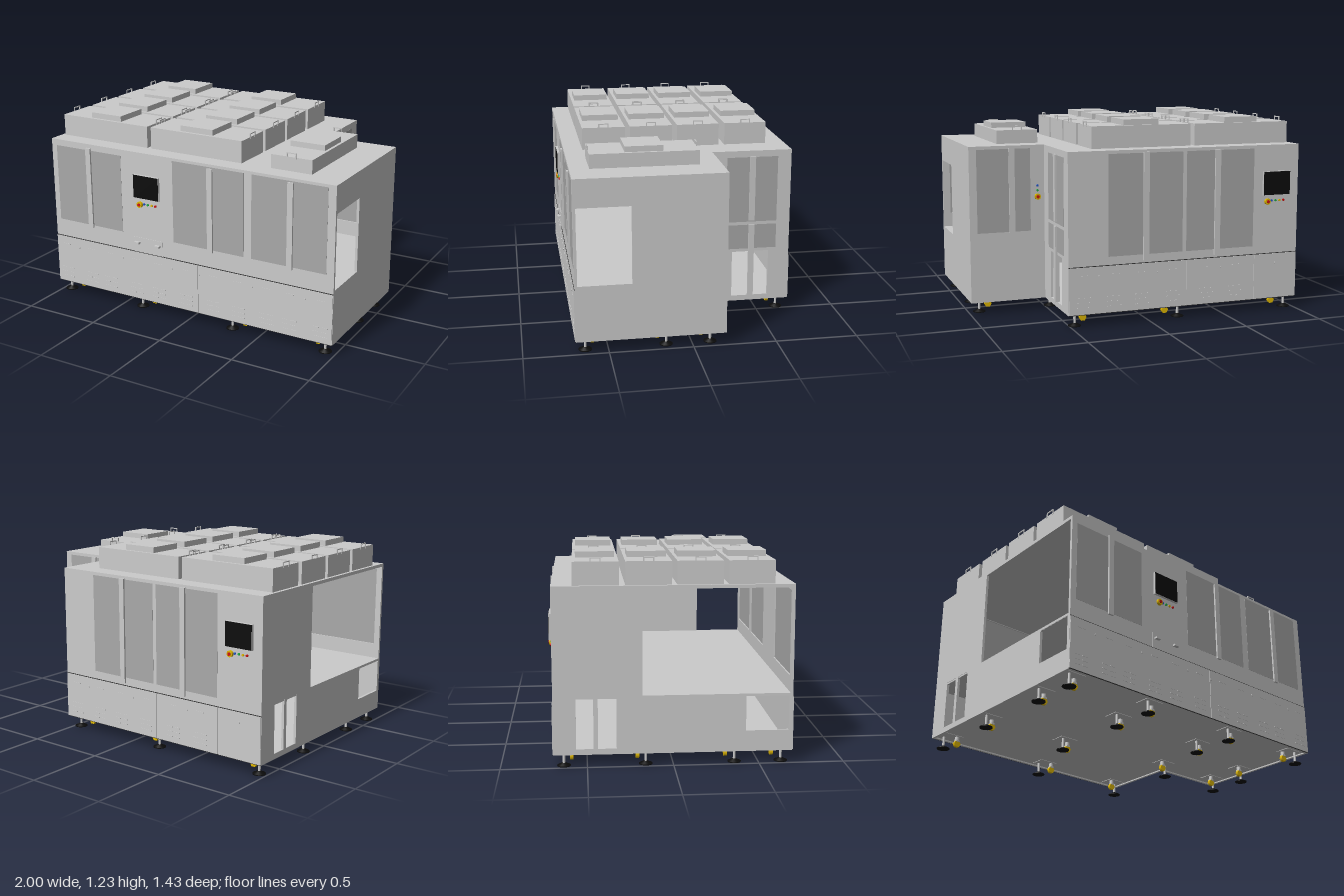
import * as THREE from 'three';

const mat = (color) => new THREE.MeshStandardMaterial({ color });
const GREY = mat(0xcccccc), PANE = mat(0xa9a9a9), BLACK = mat(0x0c0c0c), DARK = mat(0x333333);
const YELLOW = mat(0xe0b800), RED = mat(0xcc1111), GREEN = mat(0x22aa44), BLUE = mat(0x2255cc);
const BASE = 0.076, TOP = 1.055, DECK = 0.42, T = 0.016;
const FRONT = 0.693, BACK = -0.695, STEP = -0.197, END = 0.997, INNER = 0.52;

function add(parent, name, geo, material, x = 0, y = 0, z = 0) {
  const m = new THREE.Mesh(geo, material);
  m.name = name;
  m.position.set(x, y, z);
  parent.add(m);
  return m;
}

// Box given by its limits on each axis
function slab(parent, name, x0, x1, y0, y1, z0, z1, material = GREY) {
  return add(parent, name, new THREE.BoxGeometry(x1 - x0, y1 - y0, z1 - z0), material,
    (x0 + x1) / 2, (y0 + y1) / 2, (z0 + z1) / 2);
}

// A side of the cabinet: local x runs along it, y is up, local z = 0 is its outer face.
// Openings and panes are [left, right, bottom, top]; panes fill their own holes.
function makeSide(parent, name, x, z, turn, u0, u1, openings, panes = []) {
  const g = new THREE.Group();
  g.name = name;
  g.position.set(x, 0, z);
  g.rotation.y = turn;
  parent.add(g);
  const rect = (P, a, b, c, d) => {
    const p = new P();
    p.moveTo(a, c); p.lineTo(b, c); p.lineTo(b, d); p.lineTo(a, d); p.closePath();
    return p;
  };
  const s = rect(THREE.Shape, u0, u1, BASE, TOP);
  [...openings, ...panes].forEach((h) => s.holes.push(rect(THREE.Path, ...h)));
  add(g, name + 'Wall', new THREE.ExtrudeGeometry(s, { depth: T, bevelEnabled: false }), GREY, 0, 0, -T);
  panes.forEach((p) => slab(g, 'windowPane', ...p, -0.008, 0.001, PANE));
  return g;
}

// Long vertical pull bar on a door
function pullBar(side, u, y0, y1) {
  slab(side, 'pullBar', u - 0.018, u + 0.018, y0, y1, 0, 0.012);
}

function knob(parent, name, x, y, z, r, depth, material, sides = 16) {
  const geo = new THREE.CylinderGeometry(r, r, depth, sides).rotateX(Math.PI / 2);
  return add(parent, name, geo, material, x, y, z + depth / 2);
}

function stopSwitch(side, u, y) {
  knob(side, 'stopCollar', u, y, 0, 0.02, 0.016, YELLOW, 8);
  knob(side, 'stopButton', u, y, 0.016, 0.01, 0.005, RED);
}

// Emergency stop and a row of coloured push buttons
function buttons(side, u, y) {
  stopSwitch(side, u, y);
  [BLUE, GREEN, YELLOW, RED].forEach((m, i) =>
    knob(side, 'pushButton', u + 0.03 + i * 0.028, y + 0.005, 0, 0.007, 0.008, m, 12));
}

function screen(side, u, y) {
  slab(side, 'screenFrame', u - 0.093, u + 0.093, y - 0.075, y + 0.075, 0, 0.014);
  slab(side, 'screenGlass', u - 0.091, u + 0.091, y - 0.073, y + 0.073, 0.014, 0.016, BLACK);
}

// Lower service panel with dark seals and locks, each lock flanked by grip slots and vent slats
function servicePanel(side, u0, u1, top, locks) {
  slab(side, 'servicePanel', u0 + 0.002, u1 - 0.002, BASE + 0.004, top - 0.004, 0, 0.005);
  for (const y of [BASE, top - 0.004]) slab(side, 'panelSeal', u0, u1, y, y + 0.004, 0, 0.003, DARK);
  for (const c of locks) {
    knob(side, 'panelLock', c, top - 0.065, 0.005, 0.007, 0.005, GREY, 10);
    for (const s of [-1, 1]) {
      const v = c + s * 0.1;
      if (v - 0.052 < u0 || v + 0.052 > u1) continue;
      slab(side, 'gripSlot', v - 0.028, v + 0.028, top - 0.06, top - 0.054, 0.005, 0.007);
      for (let r = 0; r < 3; r++) for (const k of [-0.027, 0.027])
        slab(side, 'ventSlat', v + k - 0.02, v + k + 0.02, 0.115 + r * 0.03, 0.121 + r * 0.03, 0.005, 0.007);
    }
  }
}

// Upright U handle spanning local x
function loopHandle(parent, x, y, z, turn) {
  const g = new THREE.Group();
  g.name = 'loopHandle';
  g.position.set(x, y, z);
  g.rotation.y = turn;
  parent.add(g);
  for (const s of [-1, 1]) slab(g, 'handleLeg', s * 0.028 - 0.003, s * 0.028 + 0.003, 0, 0.035, -0.003, 0.003);
  slab(g, 'handleGrip', -0.031, 0.031, 0.03, 0.036, -0.003, 0.003);
}

// Levelling foot at (x, z) with a caster set inward by (dx, dz)
function support(parent, x, z, dx, dz) {
  const g = new THREE.Group();
  g.name = 'support';
  g.position.set(x, 0, z);
  parent.add(g);
  add(g, 'footPad', new THREE.CylinderGeometry(0.012, 0.04, 0.016, 16), BLACK, 0, 0.01, 0);
  add(g, 'footRim', new THREE.CylinderGeometry(0.04, 0.04, 0.004, 16), BLACK, 0, 0.002, 0);
  add(g, 'footRod', new THREE.CylinderGeometry(0.008, 0.008, 0.072, 12), GREY, 0, 0.051, 0);
  const wheel = new THREE.CylinderGeometry(0.023, 0.023, 0.02, 6).rotateX(Math.PI / 2).rotateZ(Math.PI / 6);
  add(g, 'casterWheel', wheel, YELLOW, dx, 0.036, dz);
  add(g, 'casterStem', new THREE.CylinderGeometry(0.014, 0.014, 0.034, 12), GREY, dx, 0.07, dz);
  slab(g, 'casterFork', dx - 0.012, dx + 0.012, 0.05, 0.06, dz - 0.014, dz + 0.014);
  slab(g, 'mountPlate', Math.min(0, dx) - 0.03, Math.max(0, dx) + 0.03, 0.081, 0.086,
    Math.min(0, dz) - 0.025, Math.max(0, dz) + 0.025);
}

// L-shaped horizontal plate, just inside the outer faces
function plate(parent, name, y, t) {
  const e = 0.002;
  const pts = [[-1 + e, -FRONT + e], [END - e, -FRONT + e], [END - e, -STEP - e],
    [INNER - e, -STEP - e], [INNER - e, -BACK - e], [-1 + e, -BACK - e]];
  const s = new THREE.Shape(pts.map((p) => new THREE.Vector2(...p)));
  const geo = new THREE.ExtrudeGeometry(s, { depth: t, bevelEnabled: false }).rotateX(-Math.PI / 2);
  add(parent, name, geo, GREY, 0, y, 0);
}

export function createModel() {
  const model = new THREE.Group();
  model.name = 'machineCabinet';

  // Floor, work deck and roof
  plate(model, 'floor', 0.084, T);
  plate(model, 'deck', DECK - T, T);
  plate(model, 'roof', TOP - T, T);

  // Front
  const front = makeSide(model, 'front', 0, FRONT, 0, -1, END, [],
    [[-0.962, -0.465, 0.515, 1.015], [-0.085, 0.41, 0.515, 1.038], [0.46, 0.948, 0.515, 1.038]]);
  for (const u of [-0.71, 0.18, 0.715]) pullBar(front, u, 0.5, 1.03);
  screen(front, -0.273, 0.84);
  buttons(front, -0.325, 0.722);
  slab(front, 'tray', -0.385, -0.165, 0.402, 0.5, 0, 0.003);
  for (const u of [-0.35, -0.2]) slab(front, 'trayGrip', u - 0.018, u + 0.018, 0.46, 0.472, 0.003, 0.024);
  servicePanel(front, -1, 0.09, 0.402, [-0.82, -0.47, -0.1]);
  servicePanel(front, 0.09, END, 0.402, [0.1, 0.47, 0.82]);

  // Back of the main body (local x runs towards the model's right)
  const back = makeSide(model, 'back', 0, BACK, Math.PI, -INNER, 1, [],
    [[-0.27, 0.21, 0.42, 1.035], [0.235, 0.69, 0.42, 1.035]]);
  for (const u of [-0.03, 0.44]) pullBar(back, u, 0.385, 1.04);
  screen(back, 0.845, 0.815);
  buttons(back, 0.785, 0.7);
  servicePanel(back, -INNER, 0.235, 0.37, [-0.33, 0.05]);
  servicePanel(back, 0.235, 0.7, 0.37, [0.47]);
  servicePanel(back, 0.7, 1, 0.37, [0.85]);

  // Back of the extension
  const rear = makeSide(model, 'extensionBack', 0, STEP, Math.PI, -END, -INNER, [], [[-0.95, -0.61, 0.515, 1.035]]);
  pullBar(rear, -0.73, 0.51, 1.04);
  stopSwitch(rear, -0.565, 0.73);
  [GREEN, BLUE].forEach((m, i) => knob(rear, 'pushButton', -0.565, 0.77 + i * 0.03, 0, 0.007, 0.01, m, 12));

  // Right-hand and left-hand ends with their transfer openings
  makeSide(model, 'extensionEnd', END, 0, Math.PI / 2, -FRONT, -STEP, [[-0.677, -0.36, DECK, 0.885]]);
  const hatches = [[0.33, 0.437, 0.11, DECK], [0.463, 0.563, 0.11, DECK]];
  const step = makeSide(model, 'innerEnd', INNER, 0, Math.PI / 2, -STEP, -BACK, hatches,
    [[0.29, 0.61, 0.424, 0.58], [0.29, 0.61, 0.6, 1.015]]);
  pullBar(step, 0.45, 0.11, 0.58);
  pullBar(step, 0.45, 0.61, 1.02);
  makeSide(model, 'farEnd', -1, 0, -Math.PI / 2, BACK, FRONT, [
    [-0.18, 0.677, DECK, 1.035], [0.42, 0.67, 0.2, 0.405],
    ...hatches.map(([a, b, c]) => [-b, -a, c, 0.415]),
  ]);

  // Roof filter units, two columns of four
  for (const x of [-0.98, -0.31]) for (const z of [-0.442, -0.142, 0.152, 0.447]) {
    const u = new THREE.Group();
    u.name = 'filterUnit';
    u.position.set(x, 0, z);
    model.add(u);
    slab(u, 'unitBox', 0, 0.642, TOP, 1.19, -0.132, 0.132);
    slab(u, 'unitCap', 0.207, 0.432, 1.19, 1.225, -0.113, 0.113);
    for (const hx of [0, 0.642]) loopHandle(u, hx, 1.178, 0, Math.PI / 2);
  }

  // Smaller unit on the extension
  slab(model, 'smallUnitBox', 0.525, 0.79, TOP, 1.14, -0.067, 0.577);
  slab(model, 'smallUnitCap', 0.545, 0.772, 1.14, 1.174, 0.145, 0.37);
  for (const z of [-0.066, 0.576]) loopHandle(model, 0.657, 1.13, z, 0);

  // Feet and casters
  [[-0.95, 0.635], [-0.95, 0.36], [-0.95, -0.16], [-0.95, -0.635],
    [-0.37, 0.635], [-0.37, 0.36], [-0.37, -0.16], [-0.205, -0.635],
    [0.3, 0.635], [0.3, 0.36], [0.465, -0.11], [0.465, -0.635],
    [0.93, 0.635], [0.93, 0.155], [0.93, -0.11]].forEach(([x, z]) => {
    const inward = z > 0.3 || z === -0.16 ? -0.045 : 0.045;
    support(model, x, z, x > 0.4 ? -0.065 : 0.068, inward);
  });

  return model;
}
